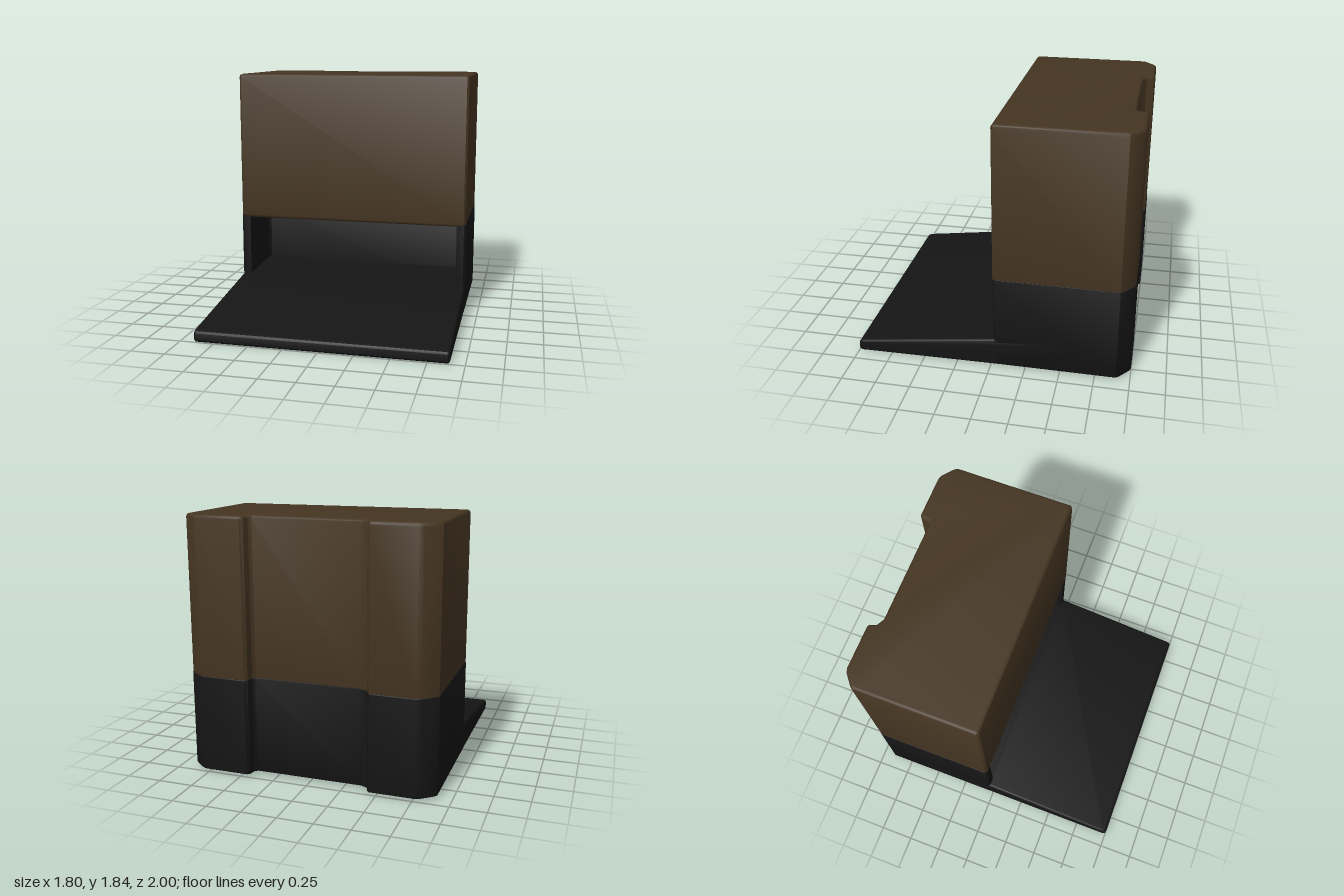
import * as THREE from 'three';
import { toCreasedNormals } from 'three/addons/utils/BufferGeometryUtils.js';

const brown = new THREE.MeshStandardMaterial({ color: 0x453522 });
const black = new THREE.MeshStandardMaterial({ color: 0x151515 });

// Outer edge of the housing seen from above, as [x, -z]: from the front right
// corner around the back, with its chamfers and shallow channel
function housingOutline(inset) {
  const w = 0.9 - inset, f = 0.02 - inset, b = 1 - inset, r = 0.015;
  return [
    [w - r, f], [w, f + r],
    [w, 0.9], [w - 0.02, 0.925], [0.8, b - 0.01], [0.77, b],
    [0.45, b], [0.43, b - 0.015], [0.42, 0.93], [0.4, 0.915 - inset],
    [-0.37, 0.915 - inset], [-0.42, 0.94], [-0.435, b - 0.015], [-0.45, b],
    [-0.77, b], [-0.8, b - 0.01], [0.02 - w, 0.925], [-w, 0.9],
    [-w, f + r], [r - w, f],
  ];
}

const toShape = (points) => new THREE.Shape(points.map(([x, y]) => new THREE.Vector2(x, y)));

// Extrusion whose rounded edges stay inside the given outline and depth
function roundedExtrude(points, depth, bevel) {
  return new THREE.ExtrudeGeometry(toShape(points), {
    depth: depth - 2 * bevel,
    bevelSize: bevel,
    bevelThickness: bevel,
    bevelOffset: -bevel,
    bevelSegments: 4,
  }).translate(0, 0, bevel);
}

function addPart(group, name, geometry, material) {
  const mesh = new THREE.Mesh(toCreasedNormals(geometry, 0.6), material);
  mesh.name = name;
  group.add(mesh);
}

export function createModel() {
  const model = new THREE.Group();
  model.name = 'housingWithRamp';

  // Upper block, set slightly inside the rim of the base
  const upper = roundedExtrude(housingOutline(0.003), 1.145, 0.025);
  upper.rotateX(-Math.PI / 2).translate(0, 0.69, 0);
  addPart(model, 'upperBlock', upper, brown);

  // Base walls: the same outline with a deep recess open to the front
  const recess = [[-0.83, 0.02], [-0.83, 0.47], [-0.81, 0.49], [0.81, 0.49], [0.83, 0.47], [0.83, 0.02]];
  const walls = roundedExtrude([...housingOutline(0), ...recess], 0.695, 0.008);
  walls.rotateX(-Math.PI / 2).translate(0, 0.018, 0);
  addPart(model, 'baseWalls', walls, black);

  // Ramp running into the recess as its floor; side profile as [-z, y]
  const profile = [
    [-0.985, 0], [0.6, 0.018], [0.6, 0.253], [0.02, 0.222],
    [-0.965, 0.09], [-0.99, 0.08], [-1, 0.065], [-1, 0.015],
  ];
  const ramp = roundedExtrude(profile, 1.8, 0.02);
  ramp.rotateY(Math.PI / 2).translate(-0.9, 0, 0);
  addPart(model, 'ramp', ramp, black);

  return model;
}
